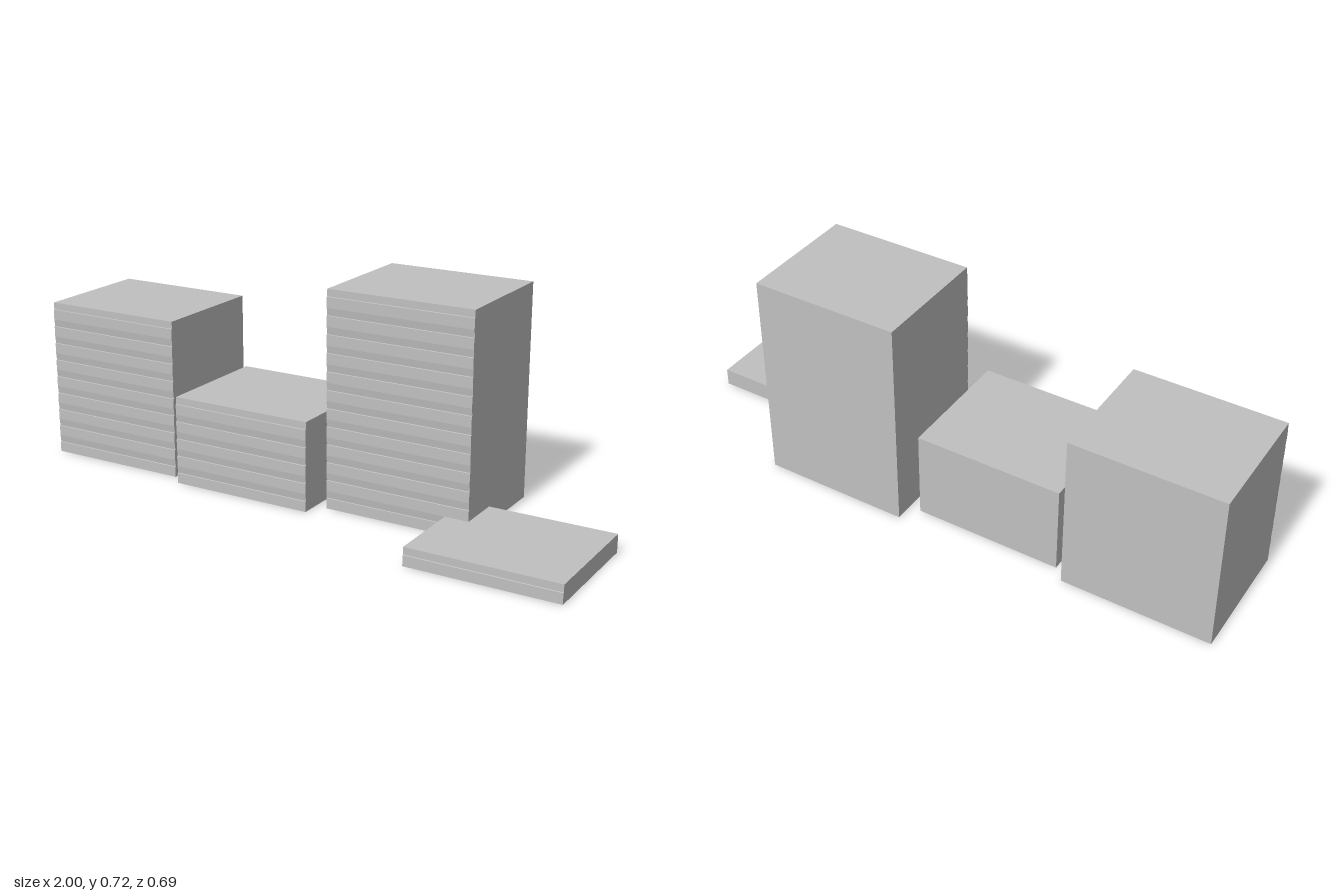
import * as THREE from 'three';

const WIDTH = 0.5, DEPTH = 0.418, LAYER = 0.06, LIP = 0.003;

// Side profile of a stack: plain back, front edge with one small ledge per layer
function stackGeometry(layers) {
  const front = DEPTH / 2;
  const shape = new THREE.Shape();
  shape.moveTo(-front, 0);
  shape.lineTo(front, 0);
  for (let i = 0; i < layers; i++) {
    const y = i * LAYER;
    shape.lineTo(front, y + 0.035);
    shape.lineTo(front - LIP, y + 0.036);
    shape.lineTo(i === layers - 1 ? front - LIP : front, y + LAYER);
  }
  shape.lineTo(-front, layers * LAYER);
  shape.closePath();
  const geometry = new THREE.ExtrudeGeometry(shape, { depth: WIDTH, bevelEnabled: false });
  geometry.translate(0, 0, -WIDTH / 2);
  geometry.rotateY(-Math.PI / 2); // profile faces +z, extrusion runs along x
  return geometry;
}

export function createModel() {
  const group = new THREE.Group();
  group.name = 'layeredStacks';
  const grey = new THREE.MeshStandardMaterial({ name: 'lightGrey', color: 0xc0c0c0 });

  // Four stacks: name, number of layers, centre x, centre z
  const stacks = [
    ['mediumStack', 9, -0.75, -0.116],
    ['lowStack', 5, -0.21, -0.074],
    ['tallStack', 12, 0.33, -0.136],
    ['singleLayer', 1, 0.75, 0.136],
  ];
  for (const [name, layers, x, z] of stacks) {
    const mesh = new THREE.Mesh(stackGeometry(layers), grey);
    mesh.name = name;
    mesh.position.set(x, 0, z);
    group.add(mesh);
  }
  return group;
}
